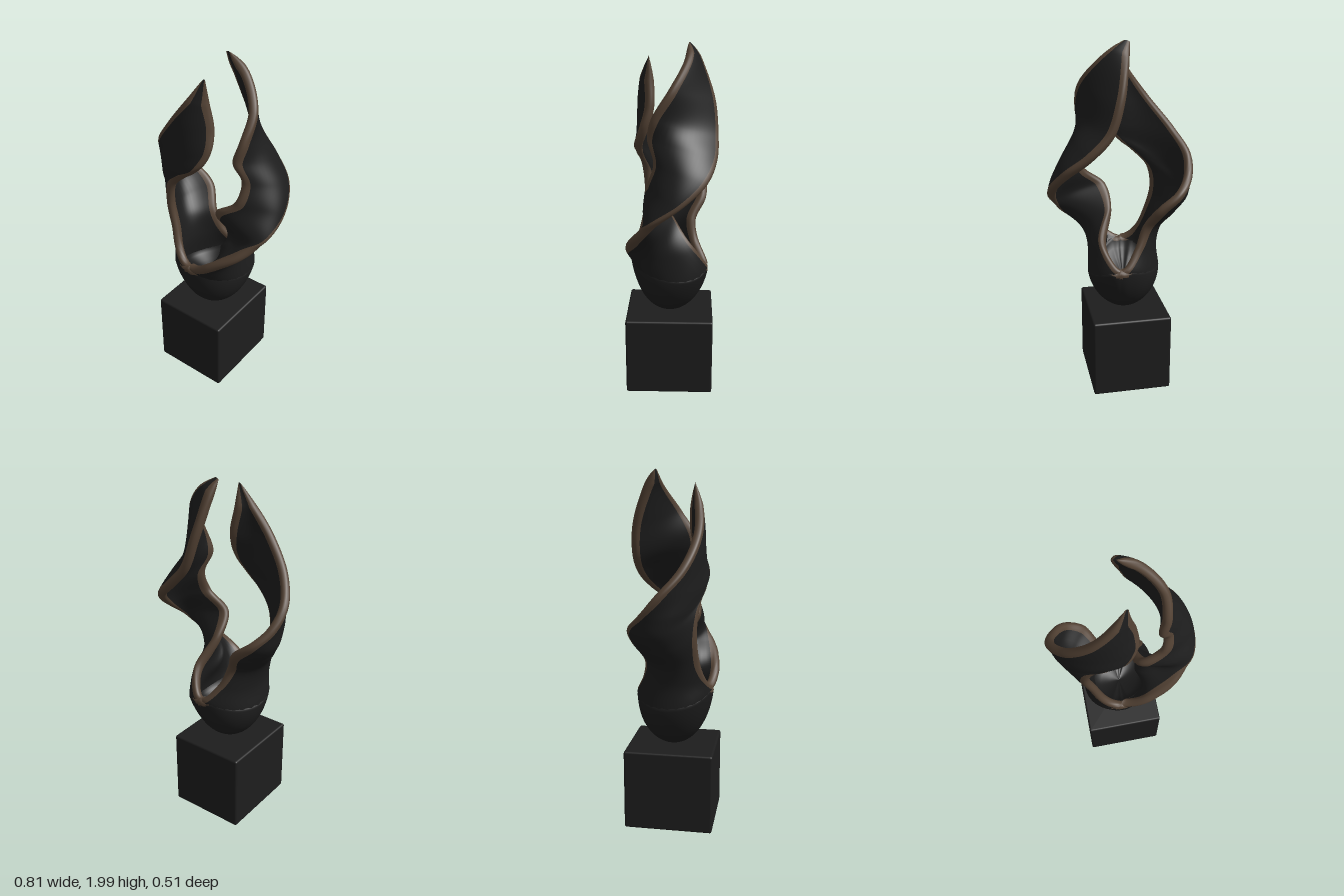
import * as THREE from 'three';
import { RoundedBoxGeometry } from 'three/addons/geometries/RoundedBoxGeometry.js';

const dark = new THREE.MeshStandardMaterial({ color: 0x1d1d1d });
dark.name = 'charcoal';
const brown = new THREE.MeshStandardMaterial({ color: 0x534234 });
brown.name = 'bronze brown';

const HALF = 0.024; // half thickness of the petals
const CENTRE = -0.02; // x of the cup axis
const { smoothstep, lerp } = THREE.MathUtils;
const curve = (pts) => new THREE.CatmullRomCurve3(pts.map((p) => new THREE.Vector3(...p)));

// Each petal is given by its first edge, the crest line of its curved face and its second edge, tip to base
const right = {
  a: [[-0.03, 1.985, -0.11], [-0.015, 1.87, -0.17], [0.02, 1.7, -0.235], [0.08, 1.53, -0.255], [0.19, 1.41, -0.25], [0.31, 1.31, -0.2],
    [0.38, 1.2, -0.07], [0.38, 1.1, 0.07], [0.27, 0.99, 0.2], [0.11, 0.895, 0.24], [-0.04, 0.81, 0.205]],
  m: [[-0.012, 1.993, -0.105], [0.06, 1.89, -0.13], [0.13, 1.73, -0.125], [0.18, 1.57, -0.1], [0.25, 1.47, -0.085], [0.32, 1.36, -0.055],
    [0.34, 1.25, 0.02], [0.27, 1.14, 0.11], [0.18, 1.0, 0.05], [0.16, 0.85, 0.03], [0.165, 0.7, 0]],
  b: [[0.005, 1.99, -0.1], [0.12, 1.905, -0.08], [0.22, 1.77, 0], [0.215, 1.63, 0.09], [0.18, 1.52, 0.11], [0.21, 1.4, 0.07],
    [0.19, 1.28, 0.1], [0.07, 1.18, 0.1], [0.05, 1.06, 0], [0.11, 0.9, -0.12], [0.03, 0.76, -0.195]],
};
const left = {
  a: [[-0.005, 1.92, 0.11], [-0.08, 1.81, 0.14], [-0.2, 1.65, 0.14], [-0.325, 1.49, 0.075], [-0.39, 1.36, -0.04], [-0.36, 1.26, -0.13],
    [-0.28, 1.18, -0.2], [-0.18, 1.1, -0.2], [-0.11, 0.98, -0.14], [-0.06, 0.86, -0.15], [0.03, 0.76, -0.195]],
  m: [[0.003, 1.925, 0.11], [-0.03, 1.8, 0.13], [-0.07, 1.65, 0.155], [-0.13, 1.5, 0.16], [-0.22, 1.37, 0.135], [-0.31, 1.26, 0.06],
    [-0.34, 1.16, -0.02], [-0.29, 1.06, -0.03], [-0.22, 0.96, 0], [-0.19, 0.84, 0], [-0.205, 0.7, 0]],
  b: [[0.01, 1.92, 0.11], [0.02, 1.8, 0.09], [0.05, 1.66, 0.09], [0.06, 1.55, 0.13], [0.02, 1.46, 0.17], [-0.08, 1.38, 0.18],
    [-0.18, 1.28, 0.16], [-0.21, 1.15, 0.15], [-0.18, 1.0, 0.16], [-0.13, 0.88, 0.185], [-0.04, 0.81, 0.205]],
};

// The edges run on from one petal into the other around the front and back notches
const joinEdges = (p, q) => curve([...p, ...[...q].reverse().slice(1)]);
const frontEdge = joinEdges(right.a, left.b);
const backEdge = joinEdges(right.b, left.a);

// Mid-surface of a petal: an arc from edge to edge over the crest, rounding into a half ellipse at the cup
function petalSurface(edgeA, edgeB, crest) {
  const M = curve(crest);
  return (u, v) => {
    const p = edgeA(v), r = edgeB(v);
    const mid = p.clone().add(r).multiplyScalar(0.5);
    const chord = p.sub(r).multiplyScalar(0.5), bulge = M.getPoint(v).sub(mid);
    const round = smoothstep(v, 0.8, 1), t = Math.PI * u;
    return mid.addScaledVector(chord, lerp(1 - 2 * u, Math.cos(t), round))
      .addScaledVector(bulge, lerp(4 * u * (1 - u), Math.sin(t), round));
  };
}
const rightSurface = petalSurface((v) => frontEdge.getPoint(v / 2), (v) => backEdge.getPoint(v / 2), right.m);
const leftSurface = petalSurface((v) => backEdge.getPoint(1 - v / 2), (v) => frontEdge.getPoint(1 - v / 2), left.m);

// Geometry with a dark and a brown face group
function twoColourGeometry(pos, darkFaces, brownFaces) {
  const g = new THREE.BufferGeometry();
  g.setAttribute('position', new THREE.Float32BufferAttribute(pos, 3));
  g.setIndex([...darkFaces, ...brownFaces]);
  g.addGroup(0, darkFaces.length, 0);
  g.addGroup(darkFaces.length, brownFaces.length, 1);
  g.computeVertexNormals();
  return g;
}

// Thick shell around the mid-surface with rounded brown rims; fill thickens the inside near the base
function petalGeometry(S, fill) {
  const rows = 120, rim = [0, 0.003, 0.01, 0.02, 0.036];
  const inner = 12, n = rim.length * 2 + inner - 1;
  const K = 2 * n - 2, pos = [];
  for (let i = 0; i <= rows; i++) {
    const v = i / rows;
    let width = 0;
    for (let k = 0; k < 8; k++) width += S(k / 8, v).distanceTo(S((k + 1) / 8, v));
    const shrink = Math.min(1, width / 0.12);
    const close = Math.min(1, Math.sqrt(v / 0.03)); // closes the tip
    const edge = rim.map((d) => (d * shrink) / width);
    const band = edge[edge.length - 1];
    const us = [...edge];
    for (let k = 1; k < inner; k++) us.push(band + (1 - 2 * band) * (k / inner));
    us.push(...edge.map((e) => 1 - e).reverse());
    for (let j = 0; j < K; j++) {
      const u = us[j < n ? j : K - j], e = 0.004;
      const d = (Math.min(u, 1 - u) * width) / shrink;
      const f = d < HALF ? Math.sqrt(Math.max(0, 1 - (1 - d / HALF) ** 2)) : 1;
      const outer = HALF * shrink * close * f;
      const extra = fill * Math.sin(Math.PI * u) ** 2 * Math.exp(-(((v - 0.87) / 0.07) ** 2));
      const W = S(Math.min(1, u + e), v).sub(S(Math.max(0, u - e), v));
      const T = S(u, Math.min(1, v + e)).sub(S(u, Math.max(0, v - e)));
      const p = S(u, v).addScaledVector(T.cross(W).normalize(), j < n ? outer : -outer - extra);
      pos.push(p.x, p.y, p.z);
    }
  }
  const faces = [[], []], r = rim.length - 1;
  for (let i = 0; i < rows; i++) {
    for (let j = 0; j < K; j++) {
      const a = i * K + j, d = i * K + ((j + 1) % K);
      const col = j < n - 1 ? j : K - 1 - j;
      faces[col < r || col >= n - 1 - r ? 1 : 0].push(a, a + K, d + K, a, d + K, d);
    }
  }
  return twoColourGeometry(pos, ...faces);
}

// Egg-shaped cup lofted from the closed loop where both petals end, brown along the two notches
function cupGeometry() {
  const bottom = 0.455, seg = 64, rows = 40, loop = [];
  for (const S of [rightSurface, leftSurface]) {
    for (let k = 0; k < seg; k++) {
      const p = S(k / seg, 1), dx = p.x - CENTRE, len = Math.hypot(dx, p.z);
      // the rim is rounded in the notches and tucked into the petals elsewhere
      const lift = 0.03 * smoothstep(Math.min(k, seg - k) / seg, 0.02, 0.12);
      loop.push({ x: dx / len, z: p.z / len, r: len, y: p.y + lift });
    }
  }
  const K = loop.length, pos = [], faces = [[], []];
  const ring = (radius, height) => {
    for (const p of loop) pos.push(CENTRE + p.x * radius(p), height(p), p.z * radius(p));
  };
  // outer wall
  for (let k = 0; k <= rows; k++) {
    const t = (k / rows) * Math.PI / 2, h = 1 - Math.cos(t);
    ring((p) => Math.sin(t) * lerp(0.208, p.r + HALF + 0.001, h * h),
      (p) => bottom + (lerp(0.74, p.y - HALF, h) - bottom) * h);
  }
  // rounded rim and hollow
  for (const a of [30, 60, 90, 120, 150, 180].map((deg) => (deg * Math.PI) / 180)) {
    ring((p) => p.r + HALF * Math.cos(a), (p) => p.y - HALF + HALF * Math.sin(a));
  }
  for (const [s, drop] of [[0.8, 0.06], [0.6, 0.09], [0.3, 0.11], [0, 0.115]]) {
    ring((p) => p.r * s, (p) => lerp(0.72, p.y, s) - drop * 0.8);
  }
  const edgePoints = [];
  for (const c of [frontEdge, backEdge]) for (let t = 0.44; t <= 0.56; t += 0.004) edgePoints.push(c.getPoint(t));
  const corner = (i) => new THREE.Vector3().fromArray(pos, i * 3);
  for (let i = 0; i < pos.length / 3 / K - 1; i++) {
    for (let j = 0; j < K; j++) {
      const a = i * K + j, d = i * K + ((j + 1) % K);
      const c = corner(a).add(corner(d + K)).multiplyScalar(0.5);
      const nearEdge = edgePoints.some((q) => q.distanceTo(c) < 0.05);
      faces[nearEdge ? 1 : 0].push(a, d + K, a + K, a, d, d + K);
    }
  }
  return twoColourGeometry(pos, ...faces);
}

export function createModel() {
  const group = new THREE.Group();
  group.name = 'flameSculpture';
  const add = (name, geometry, material) => {
    const mesh = new THREE.Mesh(geometry, material);
    mesh.name = name;
    group.add(mesh);
    return mesh;
  };

  // Plinth
  add('plinth', new RoundedBoxGeometry(0.45, 0.46, 0.5, 3, 0.012), dark).position.set(-0.027, 0.23, 0);

  // Cup and the two twisting petals
  add('cup', cupGeometry(), [dark, brown]);
  add('tallPetal', petalGeometry(rightSurface, 0.07), [dark, brown]);
  add('shortPetal', petalGeometry(leftSurface, 0), [dark, brown]);
  return group;
}
